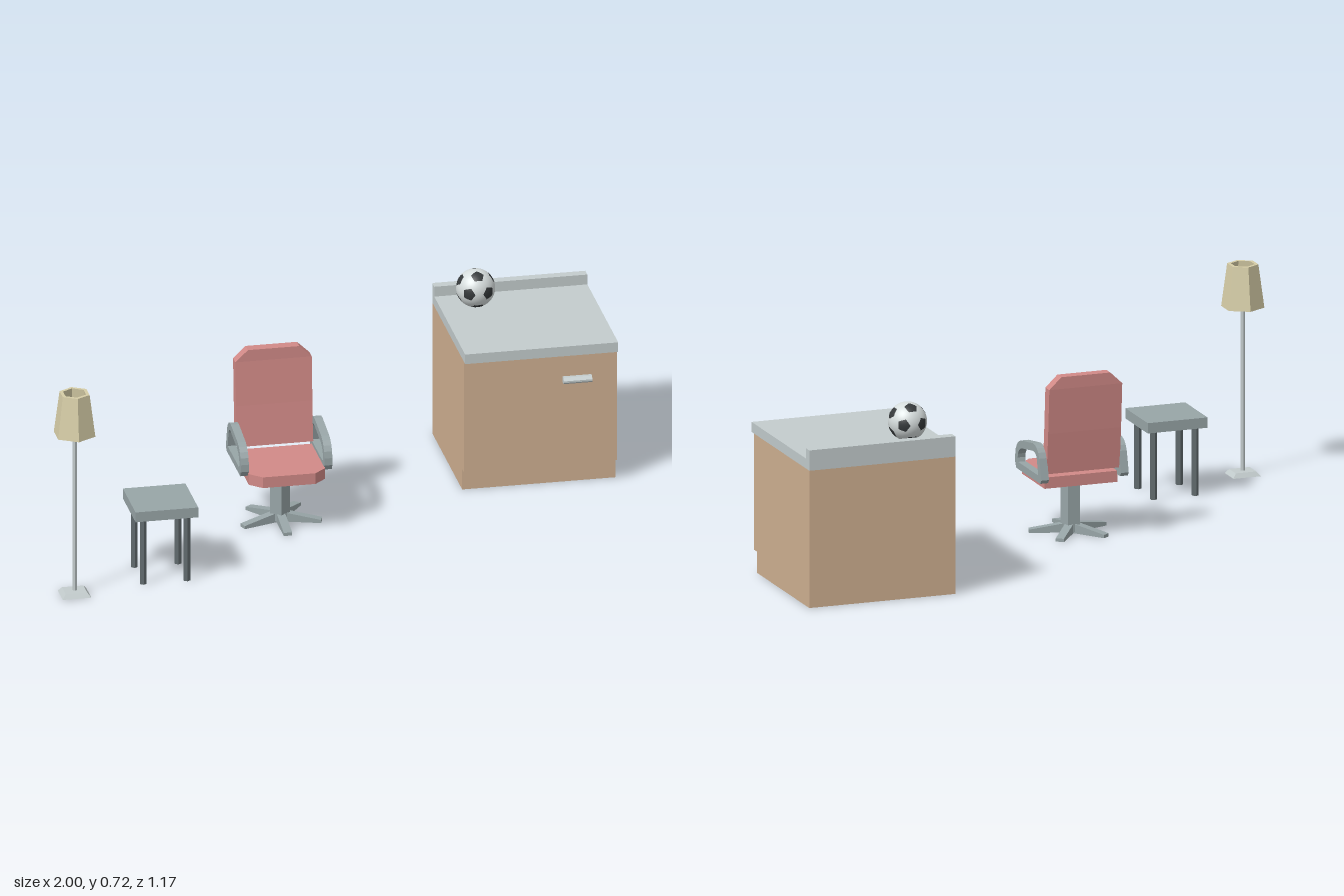
import * as THREE from 'three';

const mat = (name, color) => {
  const m = new THREE.MeshStandardMaterial({ color });
  m.name = name;
  return m;
};

const flat = (geo) => {
  const g = geo.index ? geo.toNonIndexed() : geo;
  g.computeVertexNormals();
  return g;
};

const add = (parent, name, geo, material, x = 0, y = 0, z = 0) => {
  const mesh = new THREE.Mesh(geo, material);
  mesh.name = name;
  mesh.position.set(x, y, z);
  parent.add(mesh);
  return mesh;
};

// box given by its min and max corners
const addBox = (parent, name, material, [x0, y0, z0], [x1, y1, z1]) =>
  add(parent, name, new THREE.BoxGeometry(x1 - x0, y1 - y0, z1 - z0), material,
    (x0 + x1) / 2, (y0 + y1) / 2, (z0 + z1) / 2);

const group = (parent, name, x = 0, y = 0, z = 0) => {
  const g = new THREE.Group();
  g.name = name;
  g.position.set(x, y, z);
  parent.add(g);
  return g;
};

const polygon = (pts) => pts.map(([x, y]) => new THREE.Vector2(x, y));

export function createModel() {
  const wood = mat('wood', 0xcfb091);
  const pale = mat('paleMetal', 0xc3cccd);
  const metal = mat('metal', 0x98a5a7);
  const dark = mat('darkMetal', 0x616b6e);
  const red = mat('redFabric', 0xd18a87);
  const cream = mat('creamShade', 0xd6cda7);
  const white = mat('ballWhite', 0xd6dddd);
  const black = mat('ballBlack', 0x35393b);

  const model = new THREE.Group();
  model.name = 'furnitureSet';

  // floor lamp
  const lamp = group(model, 'floorLamp', -0.938, 0, 0.512);
  const base = new THREE.BoxGeometry(0.096, 0.015, 0.082);
  const bp = base.attributes.position;
  for (let i = 0; i < bp.count; i++) {
    if (bp.getY(i) > 0) bp.setXYZ(i, bp.getX(i) * 0.75, bp.getY(i), bp.getZ(i) * 0.75);
  }
  add(lamp, 'lampBase', flat(base), pale, 0, 0.0075, 0);
  add(lamp, 'lampPole', flat(new THREE.CylinderGeometry(0.0075, 0.0075, 0.585, 6)), pale, 0, 0.3, 0);
  const shade = polygon([[0.06, 0.57], [0.072, 0.57], [0.052, 0.716], [0.04, 0.716], [0.06, 0.57]]);
  add(lamp, 'lampShade', flat(new THREE.LatheGeometry(shade, 6)), cream);

  // side table
  const table = group(model, 'sideTable', -0.626, 0, 0.396);
  addBox(table, 'tableTop', metal, [-0.105, 0.233, -0.104], [0.105, 0.268, 0.104]);
  for (const sx of [-1, 1]) for (const sz of [-1, 1]) {
    add(table, 'tableLeg', flat(new THREE.CylinderGeometry(0.012, 0.012, 0.233, 6)), dark,
      sx * 0.073, 0.1165, sz * 0.073);
  }

  // swivel chair
  const chair = group(model, 'swivelChair', -0.15, 0, 0);
  const seat = new THREE.ExtrudeGeometry(new THREE.Shape(polygon([
    [-0.128, 0.068], [-0.128, -0.143], [-0.088, -0.18], [0.088, -0.18], [0.128, -0.143], [0.128, 0.068],
  ])), { depth: 0.038, bevelEnabled: false });
  seat.rotateX(-Math.PI / 2);
  add(chair, 'seat', seat, red, 0, 0.181, 0);

  // backrest: a box whose rows lean back and narrow at the top
  const rows = [
    { y: 0.235, w: 0.128, z: -0.05 }, { y: 0.375, w: 0.128, z: -0.064 },
    { y: 0.527, w: 0.128, z: -0.075 }, { y: 0.567, w: 0.086, z: -0.075 },
  ];
  const back = new THREE.BoxGeometry(1, 3, 1, 1, 3, 1);
  const kp = back.attributes.position;
  for (let i = 0; i < kp.count; i++) {
    const r = rows[Math.round(kp.getY(i) + 1.5)];
    kp.setXYZ(i, Math.sign(kp.getX(i)) * r.w, r.y, kp.getZ(i) > 0 ? r.z : r.z - 0.037);
  }
  add(chair, 'backrest', flat(back), red);

  // armrests: rounded loops, drawn as (z, y)
  const arm = new THREE.Shape();
  arm.moveTo(-0.095, 0.207);
  arm.lineTo(0.127, 0.207);
  arm.lineTo(0.137, 0.225);
  arm.lineTo(0.137, 0.25);
  arm.quadraticCurveTo(0.132, 0.298, 0.085, 0.31);
  arm.lineTo(-0.025, 0.328);
  arm.quadraticCurveTo(-0.07, 0.33, -0.086, 0.29);
  arm.lineTo(-0.105, 0.22);
  const hole = new THREE.Path();
  hole.moveTo(-0.076, 0.231);
  hole.lineTo(-0.062, 0.285);
  hole.quadraticCurveTo(-0.055, 0.303, -0.03, 0.303);
  hole.lineTo(0.078, 0.285);
  hole.quadraticCurveTo(0.112, 0.275, 0.114, 0.245);
  hole.lineTo(0.11, 0.231);
  arm.holes.push(hole);
  const armGeo = new THREE.ExtrudeGeometry(arm, { depth: 0.027, bevelEnabled: false, curveSegments: 4 });
  armGeo.translate(0, 0, -0.0135);
  armGeo.rotateY(-Math.PI / 2);
  for (const s of [-1, 1]) add(chair, 'armrest', armGeo, metal, s * 0.14, 0, 0);

  // pedestal with five wedge feet
  const pedestal = group(chair, 'pedestal', -0.002, 0, 0.031);
  add(pedestal, 'stem', flat(new THREE.CylinderGeometry(0.035, 0.035, 0.176, 5)), metal, 0, 0.093, 0);
  const foot = new THREE.ExtrudeGeometry(new THREE.Shape(polygon([
    [0, 0], [0.139, 0], [0.139, 0.011], [0.025, 0.031], [0, 0.031],
  ])), { depth: 0.028, bevelEnabled: false });
  foot.translate(0, 0, -0.014);
  foot.rotateY(-Math.PI / 2);
  for (let i = 0; i < 5; i++) {
    add(pedestal, 'foot', foot, metal).rotation.y = (i * Math.PI * 2) / 5;
  }

  // kitchen cabinet
  const cabinet = group(model, 'cabinet');
  addBox(cabinet, 'toeKick', wood, [0.487, 0, -0.584], [1, 0.072, -0.098]);
  addBox(cabinet, 'cabinetBody', wood, [0.487, 0.072, -0.584], [1, 0.466, -0.073]);
  addBox(cabinet, 'countertop', pale, [0.487, 0.466, -0.584], [1, 0.5, -0.05]);
  addBox(cabinet, 'backsplash', pale, [0.487, 0.5, -0.584], [1, 0.535, -0.551]);
  const grip = new THREE.ExtrudeGeometry(new THREE.Shape(polygon([
    [-0.075, 0.364], [-0.056, 0.364], [-0.05, 0.37], [-0.05, 0.376], [-0.06, 0.385], [-0.075, 0.385],
  ])), { depth: 0.096, bevelEnabled: false });
  grip.rotateY(-Math.PI / 2);
  add(cabinet, 'handle', grip, pale, 0.914, 0, 0);

  // ball: faces close to the twelve corners of an icosahedron form dark pentagons
  const corners = [];
  const t = (1 + Math.sqrt(5)) / 2;
  for (const a of [-1, 1]) for (const b of [-t, t]) {
    corners.push(new THREE.Vector3(a, b, 0), new THREE.Vector3(0, a, b), new THREE.Vector3(b, 0, a));
  }
  corners.forEach((c) => c.normalize());
  const ball = new THREE.IcosahedronGeometry(0.0645, 8);
  const pos = ball.attributes.position;
  const mid = new THREE.Vector3();
  const p = new THREE.Vector3();
  for (let i = 0; i < pos.count; i += 3) {
    mid.set(0, 0, 0);
    for (let k = 0; k < 3; k++) mid.add(p.fromBufferAttribute(pos, i + k));
    mid.normalize();
    ball.addGroup(i, 3, corners.some((c) => c.dot(mid) > 0.954) ? 1 : 0);
  }
  ball.rotateY(Math.PI / 2);
  add(model, 'ball', ball, [white, black], 0.604, 0.5645, -0.448);

  return model;
}
